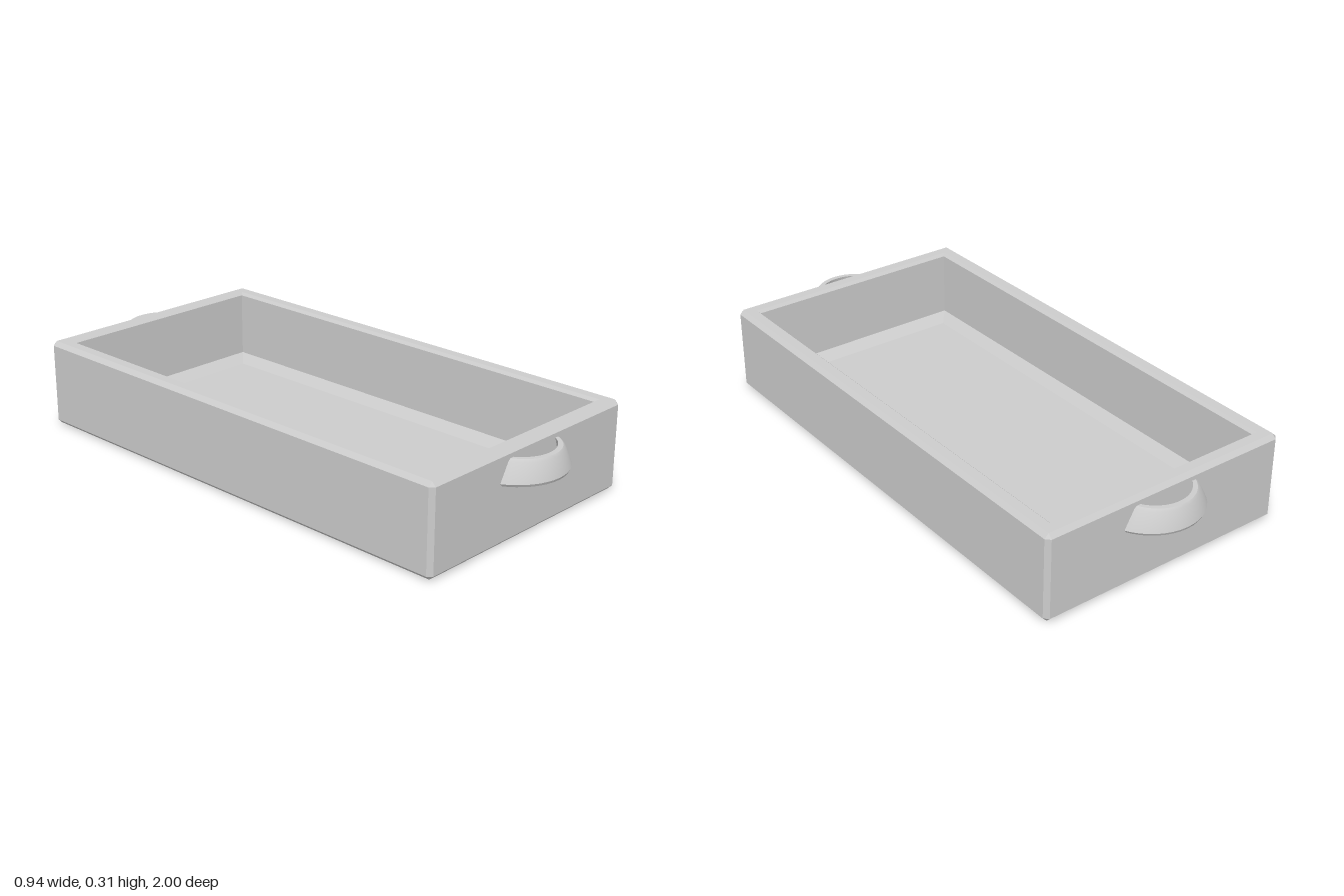
import * as THREE from 'three';
import { toCreasedNormals } from 'three/addons/utils/BufferGeometryUtils.js';

const material = new THREE.MeshStandardMaterial({ color: 0xcccccc });

// Skin a list of equal-length closed rings of Vector3
function loft(rings, name) {
  const pos = [];
  const tri = (a, b, c) => {
    if (new THREE.Triangle(a, b, c).getArea() > 1e-9) pos.push(...a.toArray(), ...b.toArray(), ...c.toArray());
  };
  for (let i = 0; i < rings.length - 1; i++) {
    const p = rings[i], q = rings[i + 1], n = p.length;
    for (let j = 0; j < n; j++) {
      const k = (j + 1) % n;
      tri(p[j], p[k], q[k]);
      tri(p[j], q[k], q[j]);
    }
  }
  const geometry = new THREE.BufferGeometry();
  geometry.setAttribute('position', new THREE.Float32BufferAttribute(pos, 3));
  const mesh = new THREE.Mesh(toCreasedNormals(geometry, 0.6), material);
  mesh.name = name;
  return mesh;
}

// Rectangle ring with cut corners, counter-clockwise from above
function rectRing([hx, hz, y, c]) {
  return [
    [hx - c, hz], [hx, hz - c], [hx, c - hz], [hx - c, -hz],
    [c - hx, -hz], [-hx, c - hz], [-hx, hz - c], [c - hx, hz],
  ].map(([x, z]) => new THREE.Vector3(x, y, z));
}

// Open box: underside, outer wall, rim, inner wall, floor (half width, half depth, height, corner cut)
function makeTray() {
  return loft([
    [0, 0, 0, 0],
    [0.455, 0.885, 0, 0],
    [0.47, 0.9, 0.015, 0.015],
    [0.47, 0.9, 0.3, 0.015],
    [0.455, 0.885, 0.315, 0],
    [0.42, 0.85, 0.315, 0],
    [0.41, 0.84, 0.305, 0],
    [0.41, 0.84, 0.068, 0],
    [0.375, 0.803, 0.037, 0],
    [0, 0, 0.037, 0],
  ].map(rectRing), 'tray');
}

// Curved grip: each profile point follows its own arc (half width, reach from the wall, height)
function makeHandle(side, name) {
  const profile = [
    [0.105, 0.058, 0.285], [0.12, 0.076, 0.285], [0.13, 0.082, 0.277],
    [0.165, 0.1, 0.214], [0.158, 0.096, 0.205], [0.132, 0.077, 0.205],
  ];
  const segments = 16, rings = [];
  for (let i = 0; i <= segments; i++) {
    const t = (i / segments) * 2 - 1;
    const ring = profile.map(([w, d, y]) => {
      const r = (w * w + d * d) / (2 * d);
      const a = t * Math.asin(w / r) * 1.04;
      return new THREE.Vector3(0.01 + r * Math.sin(a), y, side * (0.9 + d - r + r * Math.cos(a)));
    });
    rings.push(side > 0 ? ring : ring.reverse());
  }
  return loft(rings, name);
}

export function createModel() {
  const group = new THREE.Group();
  group.name = 'handledTray';
  group.add(makeTray(), makeHandle(1, 'frontHandle'), makeHandle(-1, 'backHandle'));
  return group;
}
